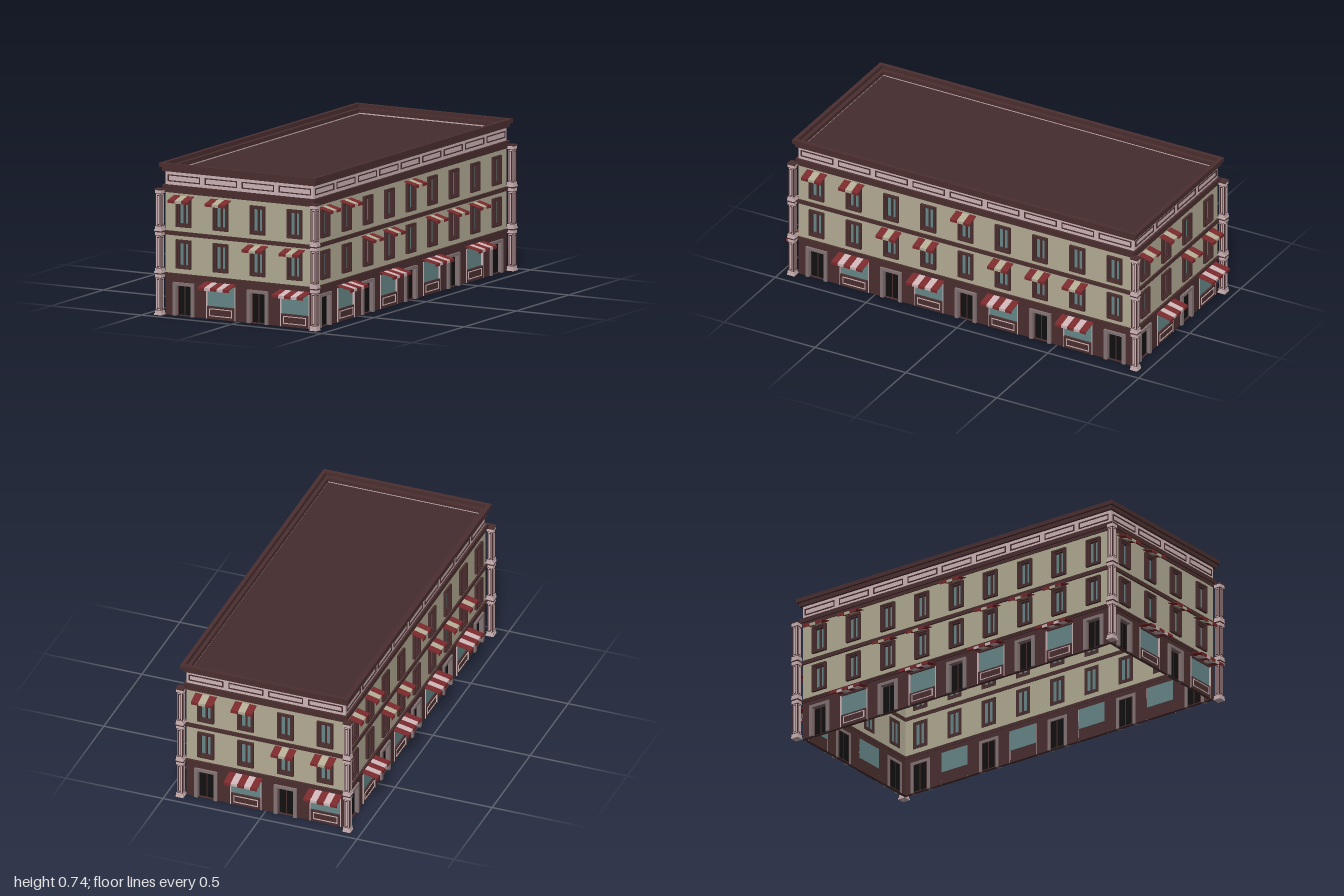
import * as THREE from 'three';

const mat = (color) => new THREE.MeshStandardMaterial({ color, flatShading: true });
const CREAM = mat(0xb5ae96), BROWN = mat(0x4c2f30), PINK = mat(0xd0b7b9), GLASS = mat(0x68898a);
const RED = mat(0x7c2a2d), GREY = mat(0x877676), BLACK = mat(0x111111), ROOF = mat(0x442c2f);

const BAY = 0.205;            // bay width
const HX = 0.41, HZ = 0.9225; // half size of the wall block
const WALL = 0.014;           // wall thickness

function add(parent, name, geometry, material) {
  const mesh = new THREE.Mesh(geometry, material);
  mesh.name = name;
  parent.add(mesh);
  return mesh;
}

// Box given by its centre x, its bottom and top, and its back and front
function box(parent, name, material, x, w, y0, y1, z0, z1) {
  const m = add(parent, name, new THREE.BoxGeometry(w, y1 - y0, z1 - z0), material);
  m.position.set(x, (y0 + y1) / 2, (z0 + z1) / 2);
  return m;
}

function rect(Type, x0, x1, y0, y1) {
  const s = new Type();
  s.moveTo(x0, y0);
  s.lineTo(x1, y0);
  s.lineTo(x1, y1);
  s.lineTo(x0, y1);
  s.closePath();
  return s;
}

function extrude(shape, depth) {
  return new THREE.ExtrudeGeometry(shape, { depth, bevelEnabled: false });
}

// Upright rectangular frame of border t
function frame(parent, name, material, x, w, y0, y1, t, z0, z1) {
  const s = rect(THREE.Shape, x - w / 2, x + w / 2, y0, y1);
  s.holes.push(rect(THREE.Path, x - w / 2 + t, x + w / 2 - t, y0 + t, y1 - t));
  add(parent, name, extrude(s, z1 - z0), material).position.z = z0;
}

// Flat ring round the whole building; out = overhang, t = width
function ring(parent, name, material, out, t, y0, y1) {
  const x = HX + out, z = HZ + out;
  const s = rect(THREE.Shape, -x, x, -z, z);
  s.holes.push(rect(THREE.Path, -x + t, x - t, -z + t, z - t));
  const g = extrude(s, y1 - y0);
  g.rotateX(-Math.PI / 2);
  add(parent, name, g, material).position.y = y0;
}

// Striped awning: sloping top with a hanging front edge
function awning(parent, x, w, top, depth, stripes, light) {
  const group = new THREE.Group();
  group.name = 'awning';
  const sw = w / stripes;
  for (let i = 0; i < stripes; i++) {
    const red = i % 2 === 0, d = red ? depth : depth - 0.004, y = red ? 0 : -0.001;
    const s = new THREE.Shape([
      [0, 0], [d, -0.016], [d, -0.03], [d - 0.004, -0.03], [d - 0.004, -0.019], [0, -0.004],
    ].map(([a, b]) => new THREE.Vector2(a, b + y)));
    const g = extrude(s, sw);
    g.rotateY(-Math.PI / 2); // profile runs outwards along +z
    add(group, 'awningStripe', g, red ? RED : light).position.set(x - w / 2 + (i + 1) * sw, top, 0);
  }
  parent.add(group);
}

function windowUnit(parent, x, y) {
  const g = new THREE.Group();
  g.name = 'window';
  frame(g, 'windowFrame', BROWN, x, 0.083, y, y + 0.141, 0.01, -0.016, 0.012);
  frame(g, 'windowInnerFrame', BROWN, x, 0.065, y + 0.009, y + 0.132, 0.008, -0.016, 0.005);
  box(g, 'windowPane', GLASS, x, 0.052, y + 0.014, y + 0.127, -0.013, -0.009);
  box(g, 'windowMullion', BROWN, x, 0.009, y + 0.014, y + 0.127, -0.016, -0.002);
  parent.add(g);
}

function door(parent, x) {
  const g = new THREE.Group();
  g.name = 'door';
  for (const s of [-1, 1]) {
    box(g, 'doorPost', GREY, x + s * 0.0495, 0.018, 0, 0.163, -0.016, 0.01);
    box(g, 'doorLeaf', BLACK, x + s * 0.0185, 0.031, 0.005, 0.143, -0.018, -0.008);
  }
  box(g, 'doorLintel', GREY, x, 0.081, 0.148, 0.163, -0.016, 0.01);
  box(g, 'doorBacking', BROWN, x, 0.081, 0, 0.148, -0.016, -0.01);
  parent.add(g);
}

function shopFront(parent, x) {
  const g = new THREE.Group();
  g.name = 'shopFront';
  box(g, 'shopGlass', GLASS, x, 0.156, 0.062, 0.165, -0.016, -0.006);
  box(g, 'shopBase', BROWN, x, 0.156, 0, 0.062, -0.014, 0.003);
  frame(g, 'shopBasePanel', PINK, x, 0.126, 0.014, 0.052, 0.004, 0.002, 0.006);
  for (const s of [-1, 1]) box(g, 'shopTrim', PINK, x + s * 0.0785, 0.004, 0, 0.165, -0.014, 0.004);
  awning(g, x, 0.172, 0.18, 0.077, 5, PINK);
  parent.add(g);
}

// One side of the building, facing +z with its wall at z = 0
function facade(name, bays, middleAwnings, topAwnings) {
  const g = new THREE.Group();
  g.name = name;
  const w = bays * BAY, centres = [];
  for (let i = 0; i < bays; i++) centres.push((i - (bays - 1) / 2) * BAY);

  // Walls with openings
  const wall = (label, material, y0, y1, holes) => {
    const s = rect(THREE.Shape, -w / 2, w / 2, y0, y1);
    s.holes.push(...holes);
    add(g, label, extrude(s, WALL), material).position.z = -WALL;
  };
  const openings = (y) => centres.map((x) => rect(THREE.Path, x - 0.034, x + 0.034, y + 0.008, y + 0.133));
  const street = centres.map((x, i) => (i % 2
    ? rect(THREE.Path, x - 0.078, x + 0.078, 0.002, 0.165)
    : rect(THREE.Path, x - 0.045, x + 0.045, 0.002, 0.152)));
  wall('groundFloorWall', BROWN, 0, 0.2, street);
  wall('middleFloorWall', CREAM, 0.2, 0.4, openings(0.231));
  wall('topFloorWall', CREAM, 0.4, 0.61, openings(0.434));
  wall('parapetWall', PINK, 0.61, 0.71, []);

  centres.forEach((x, i) => {
    if (i % 2) shopFront(g, x);
    else door(g, x);
    windowUnit(g, x, 0.231);
    windowUnit(g, x, 0.434);
    if (middleAwnings.includes(i)) awning(g, x, 0.11, 0.382, 0.062, 3, CREAM);
    if (topAwnings.includes(i)) awning(g, x, 0.11, 0.587, 0.062, 3, CREAM);
    frame(g, 'parapetPanel', BROWN, x, 0.178, 0.651, 0.684, 0.005, -0.017, 0.004);
  });
  return g;
}

// Three stacked posts with inset panels
function cornerColumn(x, z) {
  const g = new THREE.Group();
  g.name = 'cornerColumn';
  const block = (name, material, w, d, y0, y1) => box(g, name, material, 0, w, y0, y1, -d / 2, d / 2);
  for (const [y0, y1] of [[0, 0.205], [0.205, 0.41], [0.41, 0.615]]) {
    block('columnBase', PINK, 0.04, 0.04, y0, y0 + 0.008);
    block('columnFoot', PINK, 0.035, 0.035, y0 + 0.008, y0 + 0.022);
    block('columnShaft', BROWN, 0.03, 0.03, y0 + 0.022, y1 - 0.022);
    block('columnNeck', PINK, 0.035, 0.035, y1 - 0.022, y1 - 0.006);
    block('columnCap', BROWN, 0.04, 0.04, y1 - 0.006, y1);
    [[PINK, 0.022, 0.026], [BROWN, 0.015, 0.03], [PINK, 0.008, 0.034]].forEach(([m, w, inset], i) => {
      const d = 0.032 + i * 0.0015;
      block('columnPanel', m, w, d, y0 + inset, y1 - inset);
      block('columnPanel', m, d, w, y0 + inset, y1 - inset);
    });
  }
  g.position.set(x, 0, z);
  return g;
}

export function createModel() {
  const model = new THREE.Group();
  model.name = 'cornerBuilding';

  // Four sides
  for (const k of [0, 1, 2, 3]) {
    const side = k % 2
      ? facade(k === 1 ? 'leftFacade' : 'rightFacade', 9, [2, 3, 5, 6, 7], [0, 1, 4])
      : facade(k === 0 ? 'frontFacade' : 'backFacade', 4, [2, 3], [0, 1]);
    const a = k * Math.PI / 2;
    side.rotation.y = a;
    side.position.set(Math.sin(a) * HX, 0, Math.cos(a) * HZ);
    model.add(side);
  }

  // Bands, cornices and roof
  ring(model, 'streetBand', BROWN, 0.006, 0.022, 0.19, 0.198);
  ring(model, 'streetBandTop', BROWN, 0.01, 0.026, 0.198, 0.206);
  ring(model, 'floorBand', BROWN, 0.008, 0.024, 0.391, 0.411);
  ring(model, 'lowerCornice', BROWN, 0.004, 0.02, 0.597, 0.613);
  ring(model, 'lowerCorniceTop', BROWN, 0.011, 0.027, 0.613, 0.635);
  ring(model, 'upperCornice', BROWN, 0.012, 0.028, 0.7, 0.72);
  ring(model, 'roofRim', BROWN, 0.023, 0.02, 0.72, 0.74);
  box(model, 'roof', ROOF, 0, 2 * HX - 0.02, 0.688, 0.694, -HZ + 0.01, HZ - 0.01);

  for (const sx of [-1, 1]) {
    for (const sz of [-1, 1]) model.add(cornerColumn(sx * 0.43, sz * 0.943));
  }
  return model;
}
